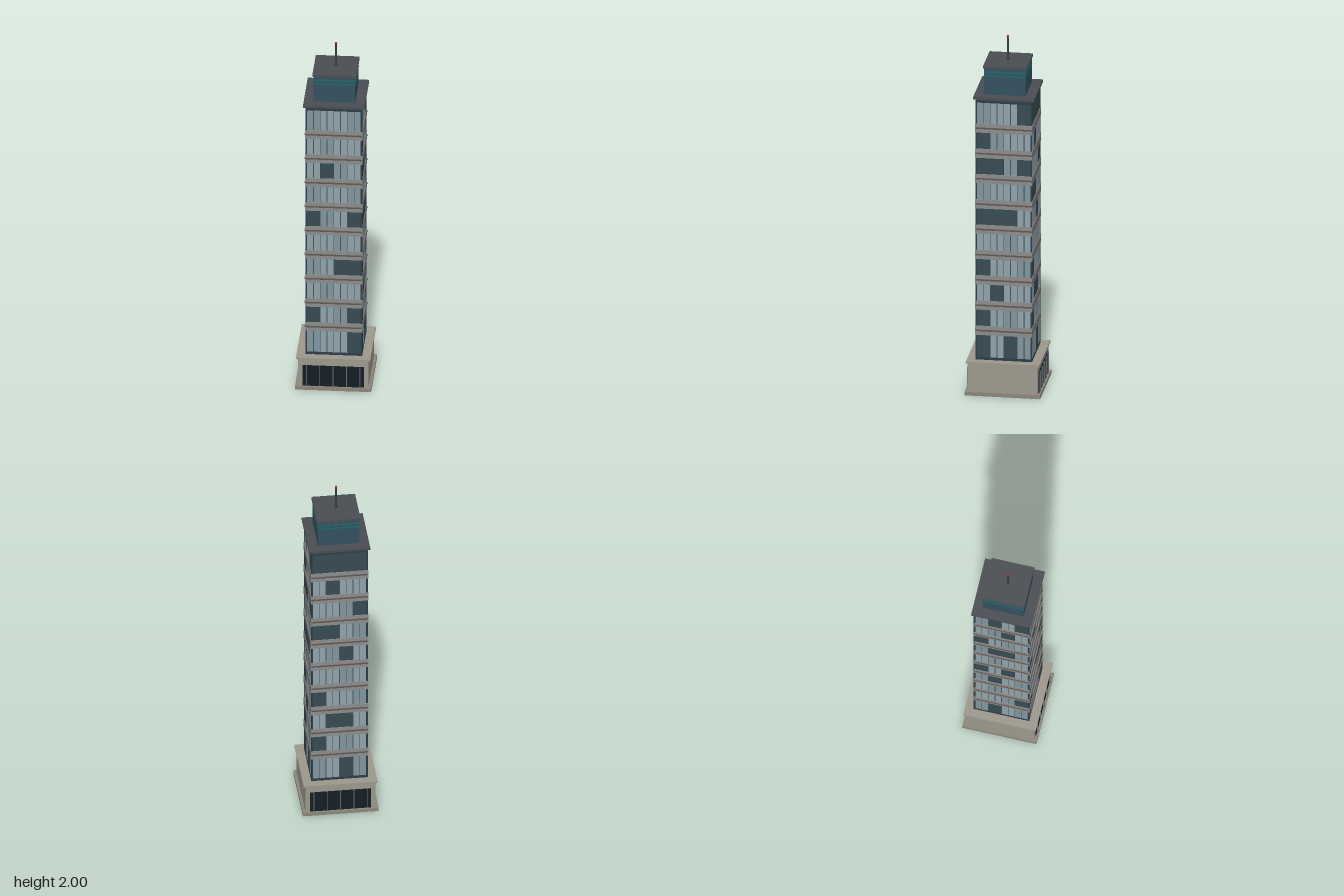
import * as THREE from 'three';

const mat = (color) => new THREE.MeshStandardMaterial({ color });
const M = {
  stone: mat(0x9c988c), trim: mat(0x8a867b), core: mat(0x2b3d4a), roof: mat(0x4a4d52),
  glass: mat(0x8fa3aa), glassAlt: mat(0x81969e), dark: mat(0x364b52), mullion: mat(0x46555c),
  band: mat(0x8b8c8c), ledge: mat(0x65544f), shop: mat(0x141e24), frame: mat(0x6c7072),
  crown: mat(0x34505f), teal: mat(0x1f6668), mast: mat(0x3c3f45), red: mat(0xb03030),
};

function box(parent, name, material, w, h, d, x, y, z) {
  const mesh = new THREE.Mesh(new THREE.BoxGeometry(w, h, d), material);
  mesh.name = name;
  mesh.position.set(x, y, z);
  parent.add(mesh);
  return mesh;
}

// Square slab centred on the axis, from y0 to y1
const slab = (parent, name, material, half, y0, y1) =>
  box(parent, name, material, half * 2, y1 - y0, half * 2, 0, (y0 + y1) / 2, 0);

const FLOORS = 10, BASE = 0.2125, STEP = 0.1447, BOTTOM = 0.205, TOP = 1.66;

// Unlit windows of each side: one string per floor from the ground up, digits are bays from the left
const UNLIT = {
  front: ['3', '03', '', '23', '', '03', '', '1', '', ''],
  right: ['02', '0', '1', '0', '', '012', '', '013', '0', '3'],
  back: ['2', '0', '12', '0', '', '2', '01', '3', '1', '0123'],
  left: ['1', '3', '', '1', '02', '', '12', '0', '2', '13'],
};

// One side of the tower, built facing +z
function facade(name, unlit) {
  const g = new THREE.Group();
  g.name = name;
  for (let f = 0; f < FLOORS; f++) {
    const y0 = f === 0 ? BOTTOM : BASE + f * STEP + 0.027;
    const y1 = f === FLOORS - 1 ? TOP : BASE + (f + 1) * STEP - 0.027;
    const h = y1 - y0, y = (y0 + y1) / 2;
    for (let bay = 0; bay < 4; bay++) {
      const x = (bay - 1.5) * 0.073;
      if (unlit[f].includes(bay)) {
        box(g, 'unlitWindow', M.dark, 0.073, h, 0.006, x, y, 0.1495);
      } else {
        for (const s of [-1, 1]) {
          const pane = (f + bay) % 3 ? M.glass : M.glassAlt;
          box(g, 'windowPane', pane, 0.033, h, 0.004, x + s * 0.0183, y, 0.1495);
        }
      }
    }
    // Spandrel and thin floor ledge above each storey but the last
    if (f < FLOORS - 1) {
      const yb = BASE + (f + 1) * STEP;
      box(g, 'spandrel', M.band, 0.296, 0.052, 0.01, 0, yb, 0.149);
      box(g, 'floorLedge', M.ledge, 0.306, 0.008, 0.014, 0, yb, 0.15);
    }
  }
  for (let i = 1; i < 8; i++) {
    box(g, 'mullion', M.mullion, 0.0035, TOP - BOTTOM, 0.004, (i - 4) * 0.0365, (TOP + BOTTOM) / 2, 0.1496);
  }
  return g;
}

// Glazed shop front, built facing +z
function shopFront(name) {
  const g = new THREE.Group();
  g.name = name;
  box(g, 'shopGlass', M.shop, 0.33, 0.122, 0.008, 0, 0.081, 0.19);
  for (let i = -2; i <= 2; i++) {
    box(g, 'shopMullion', M.frame, 0.004, 0.122, 0.008, i * 0.072, 0.081, 0.1955);
  }
  return g;
}

export function createModel() {
  const model = new THREE.Group();
  model.name = 'towerBlock';

  // Podium
  slab(model, 'plinth', M.trim, 0.205, 0, 0.02);
  slab(model, 'podiumWall', M.stone, 0.19, 0.02, 0.18);
  slab(model, 'podiumCap', M.stone, 0.2, 0.18, 0.19);
  const frontShop = shopFront('frontShop');
  const backShop = shopFront('backShop');
  backShop.rotation.y = Math.PI;
  model.add(frontShop, backShop);

  // Tower shaft and its four sides
  slab(model, 'towerCore', M.core, 0.148, 0.19, 1.68);
  slab(model, 'towerFoot', M.core, 0.153, 0.19, BOTTOM);
  slab(model, 'towerHead', M.core, 0.153, TOP, 1.68);
  ['front', 'right', 'back', 'left'].forEach((side, i) => {
    const f = facade(side + 'Facade', UNLIT[side]);
    f.rotation.y = i * Math.PI / 2;
    model.add(f);
  });
  // Corner posts and the wraps where spandrels turn the corner
  for (const sx of [-1, 1]) {
    for (const sz of [-1, 1]) {
      box(model, 'cornerPost', M.core, 0.008, TOP - BOTTOM, 0.008, sx * 0.149, (TOP + BOTTOM) / 2, sz * 0.149);
      for (let f = 1; f < FLOORS; f++) {
        box(model, 'cornerWrap', M.band, 0.012, 0.052, 0.012, sx * 0.149, BASE + f * STEP, sz * 0.149);
      }
    }
  }

  // Roof and penthouse
  slab(model, 'roofSlab', M.roof, 0.165, 1.68, 1.694);
  slab(model, 'penthouse', M.crown, 0.112, 1.694, 1.845);
  slab(model, 'lowerTealStrip', M.teal, 0.114, 1.797, 1.805);
  slab(model, 'upperTealStrip', M.teal, 0.114, 1.818, 1.828);
  slab(model, 'penthouseCap', M.roof, 0.118, 1.843, 1.857);

  // Antenna
  const rod = (name, r0, r1, y0, y1) => {
    const mesh = new THREE.Mesh(new THREE.CylinderGeometry(r1, r0, y1 - y0, 8), M.mast);
    mesh.name = name;
    mesh.position.y = (y0 + y1) / 2;
    model.add(mesh);
  };
  rod('mastFoot', 0.008, 0.006, 1.857, 1.885);
  rod('mast', 0.006, 0.004, 1.885, 1.99);
  const beacon = new THREE.Mesh(new THREE.SphereGeometry(0.007, 10, 8), M.red);
  beacon.name = 'beacon';
  beacon.position.y = 1.993;
  model.add(beacon);

  return model;
}
